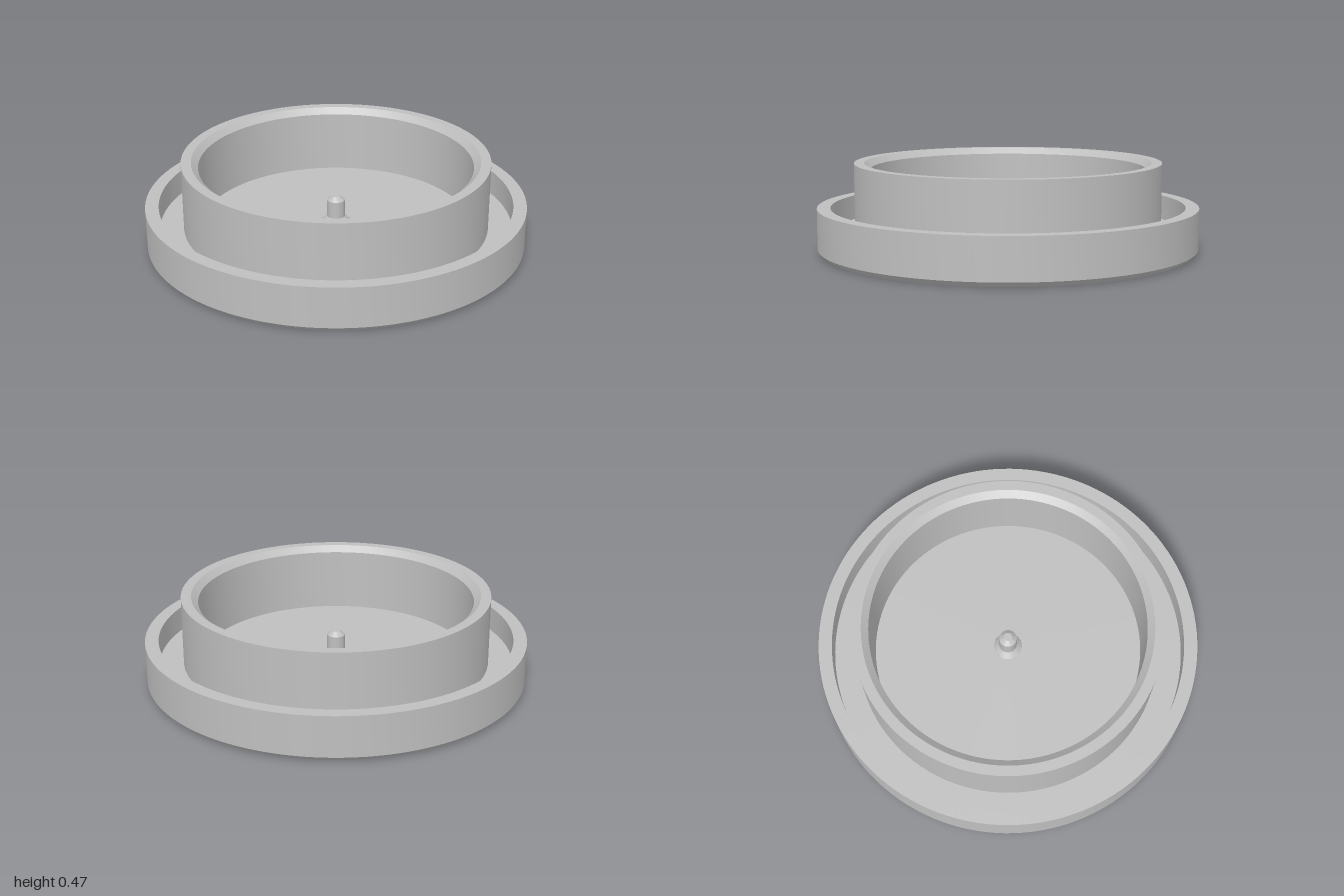
import * as THREE from 'three';
import { toCreasedNormals } from 'three/addons/utils/BufferGeometryUtils.js';

const FLOOR = 0.107;

export function createModel() {
  const group = new THREE.Group();
  const grey = new THREE.MeshStandardMaterial({ color: 0xbfbfbf });
  grey.name = 'grey';

  // Turns a [radius, height] profile about y, keeping its corners sharp
  const turn = (name, profile, segments) => {
    const points = profile.map(([r, y]) => new THREE.Vector2(r, y));
    const geometry = toCreasedNormals(new THREE.LatheGeometry(points, segments), 0.35);
    const mesh = new THREE.Mesh(geometry, grey);
    mesh.name = name;
    group.add(mesh);
  };

  // Underside with chamfer, outer rim and the channel behind it
  turn('baseAndRim', [
    [0, 0], [0.97, 0], [1, 0.027], [1, 0.24],
    [0.93, 0.24], [0.93, FLOOR], [0.805, FLOOR],
  ], 128);

  // Tall inner wall with a bevelled mouth
  turn('collar', [
    [0.805, FLOOR], [0.805, 0.47], [0.752, 0.47], [0.717, 0.438], [0.712, FLOOR],
  ], 128);

  // Floor inside the collar
  turn('innerFloor', [[0.712, FLOOR], [0.075, FLOOR]], 128);

  // Centre pin with flared foot and bevelled tip
  turn('centrePin', [
    [0.075, FLOOR], [0.047, 0.135], [0.047, 0.226], [0.022, 0.248], [0, 0.248],
  ], 48);

  return group;
}
